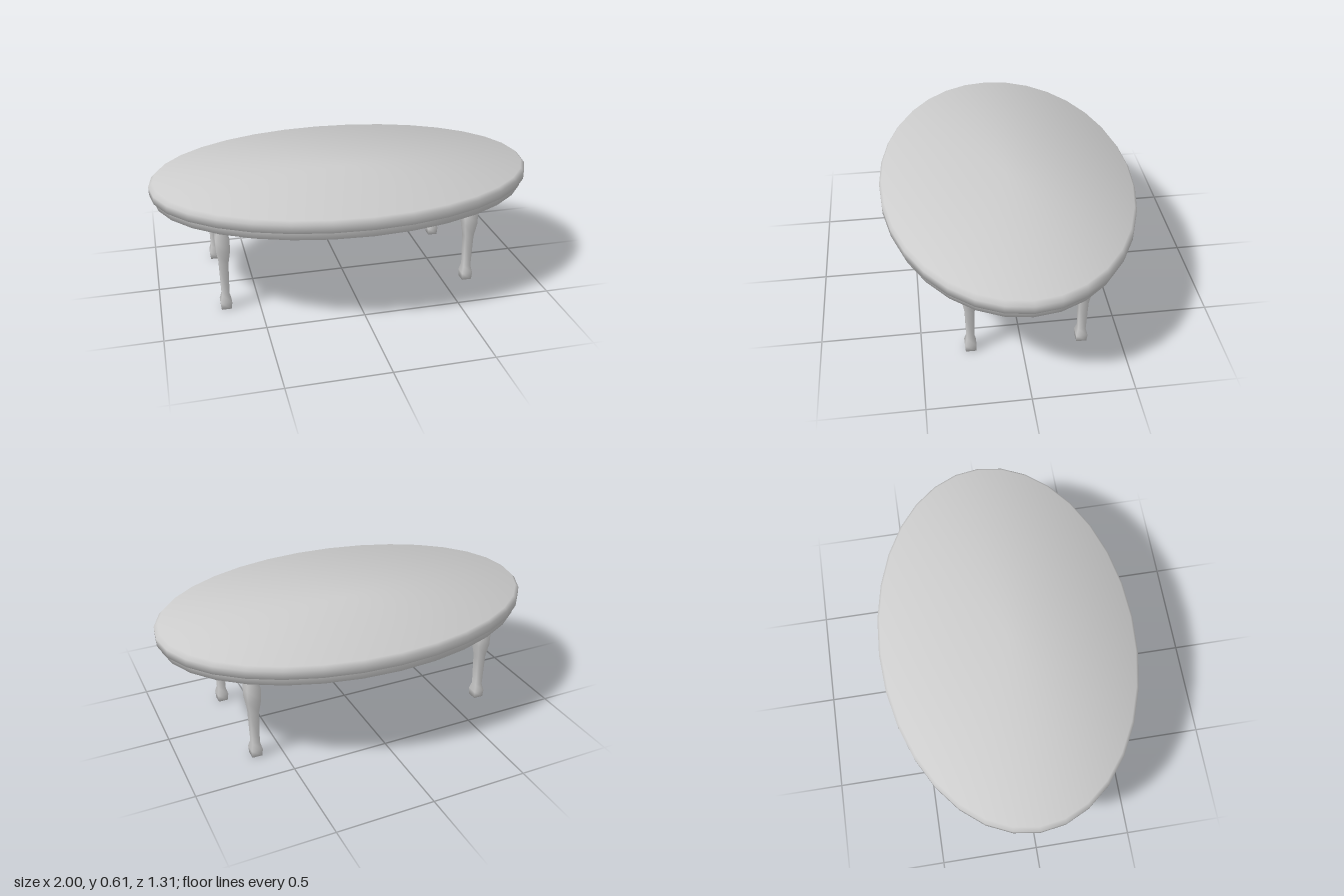
import * as THREE from 'three';

const material = new THREE.MeshStandardMaterial({ color: 0xcccccc });

// Turned part from [radius, y] pairs, with normals averaged evenly over
// neighbouring profile segments so broad faces shade softly into their edges
function turned(name, profile, sides, phase = 0) {
  const points = profile.map(([r, y]) => new THREE.Vector2(r, y));
  const geometry = new THREE.LatheGeometry(points, sides, phase);
  const segments = points.slice(1).map((p, j) =>
    new THREE.Vector2(p.y - points[j].y, points[j].x - p.x).normalize());
  const last = segments.length - 1;
  const normals = points.map((_, j) => segments[Math.max(j - 1, 0)].clone()
    .add(segments[Math.min(j, last)]).normalize());
  for (let i = 0; i <= sides; i++) {
    const angle = phase + (i / sides) * Math.PI * 2;
    normals.forEach((n, j) => geometry.attributes.normal.setXYZ(
      i * points.length + j, n.x * Math.sin(angle), n.y, n.x * Math.cos(angle)));
  }
  const mesh = new THREE.Mesh(geometry, material);
  mesh.name = name;
  return mesh;
}

export function createModel() {
  const table = new THREE.Group();
  table.name = 'ovalTable';

  // Oval top with a chamfered rim and an overhanging lip
  const top = turned('tableTop', [
    [0.97, 0.554], [1, 0.554], [1, 0.595], [0.98, 0.614], [0, 0.614],
  ], 32);

  // Recessed underside running into the thin apron ring
  const apron = turned('undersideAndApron', [
    [0, 0.554], [0.974, 0.554], [0.974, 0.515], [0.98, 0.515], [0.98, 0.554],
  ], 32);
  top.scale.z = apron.scale.z = 0.655;
  table.add(top, apron);

  // Square, softly shaded legs reaching up to the underside: [half width, y]
  const legProfile = [
    [0, 0], [0.026, 0], [0.029, 0.04], [0.019, 0.08],
    [0.023, 0.26], [0.034, 0.335], [0.035, 0.4], [0.027, 0.435],
    [0.027, 0.46], [0.047, 0.487], [0.047, 0.554],
  ].map(([half, y]) => [half * Math.SQRT2, y]);

  for (const [side, x] of [['Right', -0.672], ['Left', 0.632]]) {
    for (const [end, z] of [['front', 0.257], ['back', -0.304]]) {
      const leg = turned(`${end}${side}Leg`, legProfile, 4, Math.PI / 4);
      leg.position.set(x, 0, z);
      table.add(leg);
    }
  }
  return table;
}
